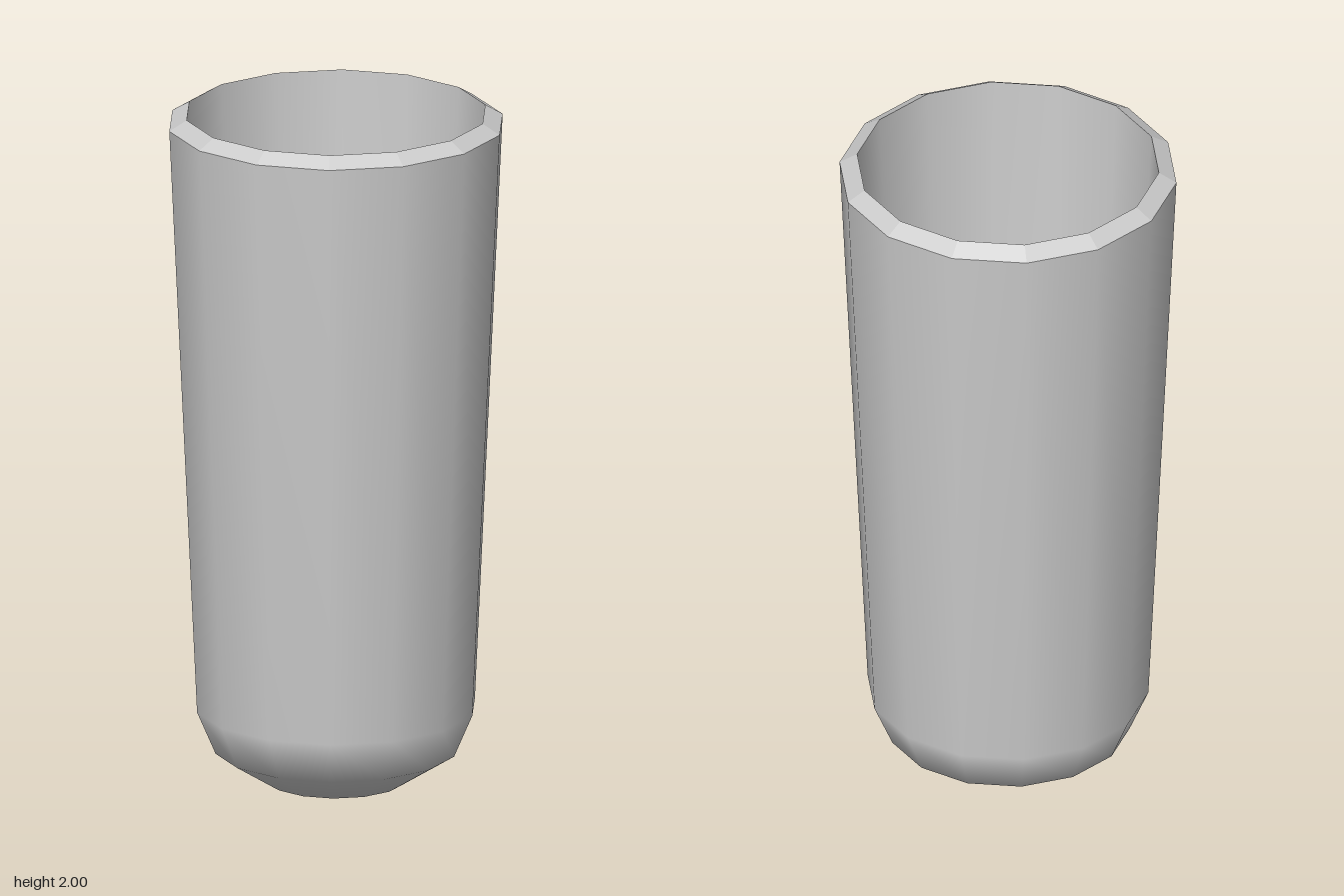
import * as THREE from 'three';

const SIDES = 14;

// Revolves a profile of [radius, height] points, with a corner on the x axis
function revolve(name, profile, flatShading = false) {
  const points = profile.map(([r, y]) => new THREE.Vector2(r, y));
  const geometry = new THREE.LatheGeometry(points, SIDES, Math.PI / 2);
  const material = new THREE.MeshStandardMaterial({ color: 0xcccccc, flatShading });
  const mesh = new THREE.Mesh(geometry, material);
  mesh.name = name;
  return mesh;
}

// Flattened dome in three steps, from the pole out to its full radius
function dome(radius, height, base) {
  return [0, 1, 2, 3].map((i) => {
    const a = (i * Math.PI) / 6;
    return [radius * Math.sin(a), base + height * (1 - Math.cos(a))];
  });
}

export function createModel() {
  const cup = new THREE.Group();
  cup.name = 'cup';

  // Tapered outer wall with rounded bottom
  cup.add(revolve('outerWall', [...dome(0.4, 0.25, 0), [0.48, 1.97]]));

  // Bevelled rim with crisp facets
  cup.add(revolve('rim', [[0.48, 1.97], [0.43, 2]], true));

  // Inner wall and floor, running downwards so it faces inwards
  cup.add(revolve('innerWall', [...dome(0.35, 0.22, 0.05), [0.43, 2]].reverse()));

  return cup;
}
